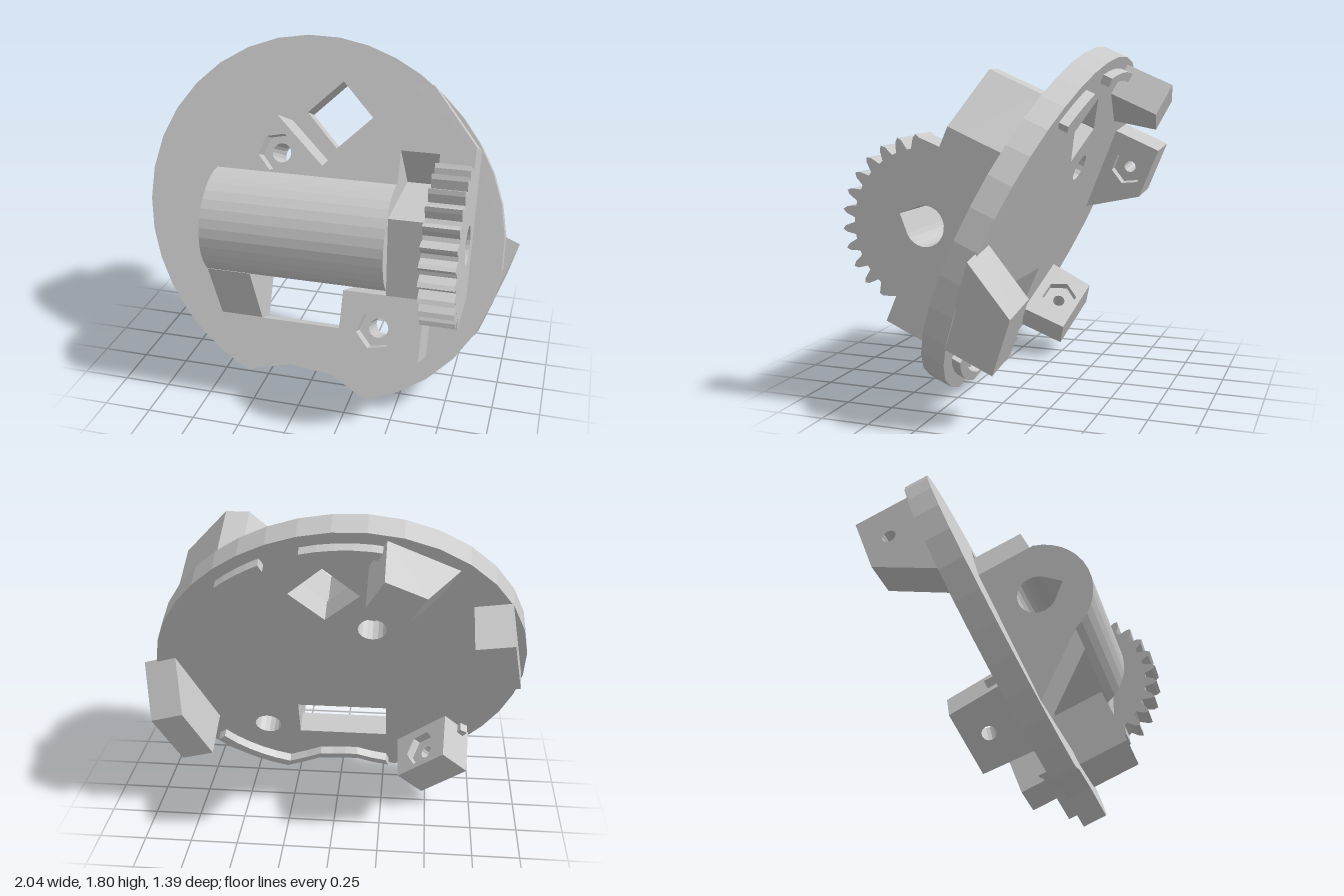
import * as THREE from 'three';

const RAD = Math.PI / 180;
const grey = new THREE.MeshStandardMaterial({ color: 0xc8c8c8 });
grey.name = 'light grey';

const toPath = (pts, Type = THREE.Shape) => new Type(pts.map(([a, b]) => new THREE.Vector2(a, b)));

// Regular polygon outline, used for round and hexagonal holes
function ring(cx, cy, r, n, turn = 0) {
  return Array.from({ length: n }, (_, i) => {
    const a = (i / n) * 2 * Math.PI + turn;
    return [cx + r * Math.cos(a), cy + r * Math.sin(a)];
  });
}

// Extrudes an outline with holes from one depth to another
function slab(pts, holes, from, to) {
  const shape = toPath(pts);
  shape.holes = holes.map((h) => toPath(h, THREE.Path));
  return new THREE.ExtrudeGeometry(shape, { depth: to - from, bevelEnabled: false }).translate(0, 0, from);
}

// Extrudes a [depth, height] side profile along x
function sideways(pts, holes, x0, x1) {
  const flip = (list) => list.map(([w, v]) => [-w, v]);
  return slab(flip(pts), holes.map(flip), x0, x1).rotateY(Math.PI / 2);
}

// Disc outline: slightly oval, with a shallow notch at the bottom
function rim(deg, scale = 1) {
  const dip = Math.max(0, Math.min(1, (deg - 251) / 13, (290 - deg) / 10)) * 0.135;
  const r = (0.972 + 0.055 * Math.cos(2 * (deg - 140) * RAD) - dip) * scale;
  return [r * Math.cos(deg * RAD), 0.01 + r * Math.sin(deg * RAD)];
}

export function createModel() {
  const model = new THREE.Group();
  model.name = 'gearedMount';
  const tilted = new THREE.Group();
  tilted.name = 'tiltedAssembly';
  tilted.rotation.x = -23.7 * RAD;
  tilted.position.set(0, 0.9, 0.055);
  model.add(tilted);

  const add = (name, geometry) => {
    const mesh = new THREE.Mesh(geometry, grey);
    mesh.name = name;
    tilted.add(mesh);
    return mesh;
  };

  const thick = 0.13;
  const front = 0.29;
  const screws = [[-0.19, 0.32], [0.415, -0.52]];

  // Base disc with diamond window, rectangular window and screw holes
  const angles = [];
  for (let a = 0; a < 360; a += 10) {
    if (a === 260) angles.push(264);
    else if (a !== 270) angles.push(a);
  }
  add('baseDisc', slab(angles.map((a) => rim(a)), [
    ring(0.05, 0.56, 0.18, 4),
    [[-0.265, -0.573], [0.23, -0.573], [0.23, -0.33], [-0.265, -0.33]],
    ...screws.map(([x, y]) => ring(x, y, 0.075, 16)),
  ], -thick, 0));

  // Blocks with a hexagonal nut recess in front of a round hole
  function nutBlock(name, pts, [x, y], depth) {
    const step = depth - 0.09;
    add(name + 'Back', slab(pts, [ring(x, y, 0.05, 16)], 0, step));
    add(name + 'Front', slab(pts, [ring(x, y, 0.1, 6, 0.2)], step, depth));
  }
  nutBlock('upperBracket', [
    [-0.495, 0.15], [0.45, 0.15], [0.45, 0.384], [0.82, 0.384], [0.82, 0.434],
    [0.58, 0.72], [0.46, 0.72], [0.056, 0.27], [-0.21, 0.51], [-0.495, 0.21],
  ], screws[0], front);
  nutBlock('lowerBracket', [
    [0.23, -0.655], [0.645, -0.655], [0.645, -0.342], [0.23, -0.342],
  ], screws[1], 0.281);

  // Shaft axis position and teardrop bore
  const cw = 0.213, cv = -0.05;
  const arc = (r, a) => [cw + r * Math.cos(a * RAD), cv + r * Math.sin(a * RAD)];
  const bore = [[cw + 0.141, cv]];
  for (let a = 45; a <= 315; a += 15) bore.push(arc(0.1, a));

  // Shaft housing with rounded front
  const housing = [[0, 0.21]];
  for (let i = 0; i <= 14; i++) housing.push(arc(0.28, 70 - (i / 14) * 143));
  housing.push([0, -0.33]);
  add('shaftHousing', sideways(housing, [bore], -0.495, 0.45));
  add('housingFoot', sideways([[0, -0.3], [0.29, -0.3], [0.3, -0.318], [0, -0.57]], [], -0.495, -0.265));

  // Collar between housing and gear, with the sloped pocket above it
  add('collar', sideways([[0, 0.24], [0.45, 0.042], [0.281, -0.342], [0, -0.342]], [bore], 0.45, 0.645));
  add('pocketSlope', sideways([[0, 0.384], [front, 0.384], [0, 0.24]], [], 0.45, 0.645));

  // Gear sector joined to the disc by its web
  const gear = [[0, 0.434], [front, 0.434], [front, 0.33]];
  const pitch = 12.7;
  for (let i = 0; i < 11; i++) {
    const a = 61 - i * pitch;
    gear.push(arc(0.42, a + 2.2), arc(0.438, a), arc(0.42, a - 2.2), arc(0.372, a - 4.6), arc(0.372, a - 8.1));
  }
  gear.push(arc(0.42, -78), [0.278, -0.463], [0, -0.33]);
  add('gearSector', sideways(gear, [bore], 0.645, 0.82));

  // Clips on the back: tapered blocks set around the rim, some with a nut recess
  const clips = [
    { name: 'topClip', deg: 117, r: [0.76, 0.95], base: [-0.19, 0.21], tip: [-0.19, 0.03], w: -0.4 },
    { name: 'rightClip', deg: 170, r: [0.77, 0.96], base: [-0.384, 0.148], tip: [-0.384, -0.07], w: -0.41, nut: [-0.2, -0.28] },
    { name: 'leftClip', deg: -20, r: [0.81, 1.0], base: [-0.2, 0.34], tip: [-0.2, 0.16], w: -0.39 },
    { name: 'bottomClip', deg: 227, r: [0.68, 0.88], base: [-0.18, 0.18], tip: [-0.165, 0.165], w: -0.387, nut: [0, -0.27] },
  ];
  for (const { name, deg, r, base, tip, w, nut } of clips) {
    const pts = [[base[0], -0.12], [tip[0], w], [tip[1], w], [base[1], -0.12]];
    const c = Math.cos(deg * RAD), s = Math.sin(deg * RAD);
    const turn = new THREE.Matrix4().makeBasis(
      new THREE.Vector3(-s, c, 0), new THREE.Vector3(0, 0, 1), new THREE.Vector3(c, s, 0));
    if (nut) {
      const mid = r[0] + 0.05;
      add(name + 'Inner', slab(pts, [ring(...nut, 0.1, 6)], r[0], mid).applyMatrix4(turn));
      add(name + 'Outer', slab(pts, [ring(...nut, 0.035, 12)], mid, r[1]).applyMatrix4(turn));
    } else {
      add(name, slab(pts, [], r[0], r[1]).applyMatrix4(turn));
    }
  }

  // Raised ridges following the rim on the back
  for (const [a0, a1] of [[47, 66], [80, 108], [213, 221], [251, 318]]) {
    const n = Math.ceil((a1 - a0) / 6);
    const outer = [], inner = [];
    for (let i = 0; i <= n; i++) {
      const a = a0 + ((a1 - a0) * i) / n;
      outer.push(rim(a, 0.93));
      inner.unshift(rim(a, 0.88));
    }
    add('backRidge', slab([...outer, ...inner], [], -thick - 0.05, -thick + 0.01));
  }
  return model;
}
